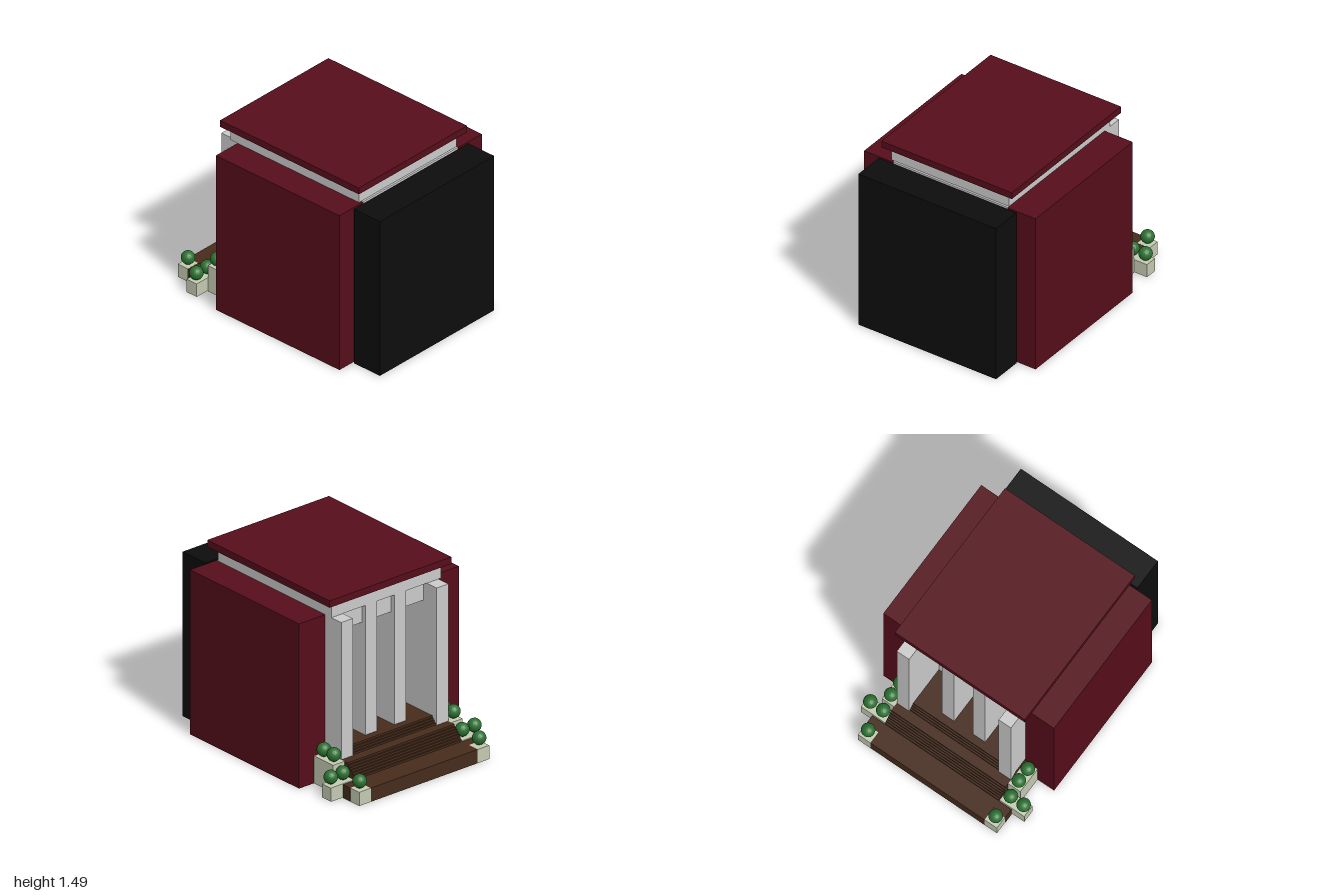
import * as THREE from 'three';

const mat = (color, flatShading = false) => new THREE.MeshStandardMaterial({ color, flatShading });

export function createModel() {
  const model = new THREE.Group();
  const red = mat(0x560e1b), black = mat(0x0d0d0d), grey = mat(0xcccccc);
  const brown = mat(0x462c1c), stone = mat(0xc4cbb2), leaf = mat(0x2a7030, true);

  // Box given by its extents on each axis
  const block = (name, material, [x0, x1], [y0, y1], [z0, z1], parent = model) => {
    const mesh = new THREE.Mesh(new THREE.BoxGeometry(x1 - x0, y1 - y0, z1 - z0), material);
    mesh.position.set((x0 + x1) / 2, (y0 + y1) / 2, (z0 + z1) / 2);
    mesh.name = name;
    parent.add(mesh);
    return mesh;
  };

  // Side wings and the dark block at the front
  block('leftWing', red, [0.51, 0.76], [0, 1.32], [-0.49, 0.73]);
  block('rightWing', red, [-0.765, -0.51], [0, 1.32], [-0.49, 0.73]);
  block('frontBlock', black, [-0.625, 0.6], [0, 1.32], [0.745, 1]);

  // Floor platform, inner hall, entablature and roof slab
  block('platform', brown, [-0.51, 0.51], [0, 0.28], [-0.62, 0.744]);
  block('hall', grey, [-0.509, 0.509], [0.28, 1.319], [-0.3, 0.725]);
  block('entablature', grey, [-0.535, 0.51], [1.32, 1.435], [-0.56, 0.71]);
  block('roof', red, [-0.59, 0.57], [1.435, 1.49], [-0.61, 0.76]);

  // Portico: deep columns, the outer pair stepping forward, joined by lintels
  const columns = [[-0.51, -0.4, -0.67], [-0.2, -0.09, -0.56], [0.077, 0.187, -0.56], [0.4, 0.51, -0.67]];
  columns.forEach(([x0, x1, z], i) => {
    const outer = i === 0 || i === 3;
    block('column', grey, [x0, x1], [outer ? 0.22 : 0.28, 1.32], [z, -0.3]);
    if (i < 3) block('lintel', grey, [x1, columns[i + 1][0]], [1.17, 1.32], [-0.52, -0.37]);
  });

  // Stairs: two broad landings, each followed by a flight of thin treads
  const stairs = new THREE.Group();
  stairs.name = 'stairs';
  model.add(stairs);
  block('lowerLanding', brown, [-0.51, 0.51], [0, 0.11], [-1, -0.82], stairs);
  block('landingEnds', brown, [-0.622, 0.622], [0, 0.109], [-0.9, -0.82], stairs);
  block('upperLanding', brown, [-0.51, 0.51], [0, 0.22], [-0.74, -0.62], stairs);
  const flight = (count, y0, y1, z0, z1) => {
    for (let i = 0; i < count; i++) {
      const a = z0 + (z1 - z0) * i / count, b = z0 + (z1 - z0) * (i + 1) / count;
      block('tread', brown, [-0.51, 0.51], [0, y0 + (y1 - y0) * (i + 1) / (count + 1)], [a, b], stairs);
    }
  };
  flight(6, 0.11, 0.22, -0.82, -0.74);
  flight(3, 0.22, 0.28, -0.66, -0.62);

  // Planters and round shrubs on both sides of the stairs
  const leafGeometry = new THREE.IcosahedronGeometry(0.053, 3);
  const trunkGeometry = new THREE.CylinderGeometry(0.008, 0.008, 0.05, 8);
  for (const side of [1, -1]) {
    const garden = new THREE.Group();
    garden.name = side > 0 ? 'leftPlanters' : 'rightPlanters';
    model.add(garden);
    const planter = (x0, x1, height, z0, z1) =>
      block('planter', stone, side > 0 ? [x0, x1] : [-x1, -x0], [0, height], [z0, z1], garden);
    planter(0.51, 0.618, 0.22, -0.705, -0.49);
    planter(0.51, 0.73, 0.11, -0.812, -0.712);
    planter(0.51, 0.62, 0.11, -1, -0.9);
    const spots = [[0.57, 0.22, -0.545], [0.57, 0.22, -0.657], [0.57, 0.11, -0.757], [0.685, 0.11, -0.757], [0.57, 0.11, -0.945]];
    for (const [x, y, z] of spots) {
      const trunk = new THREE.Mesh(trunkGeometry, brown);
      trunk.name = 'shrubTrunk';
      trunk.position.set(side * x, y + 0.02, z);
      const crown = new THREE.Mesh(leafGeometry, leaf);
      crown.name = 'shrubCrown';
      crown.position.set(side * x, y + 0.057, z);
      garden.add(trunk, crown);
    }
  }
  return model;
}
